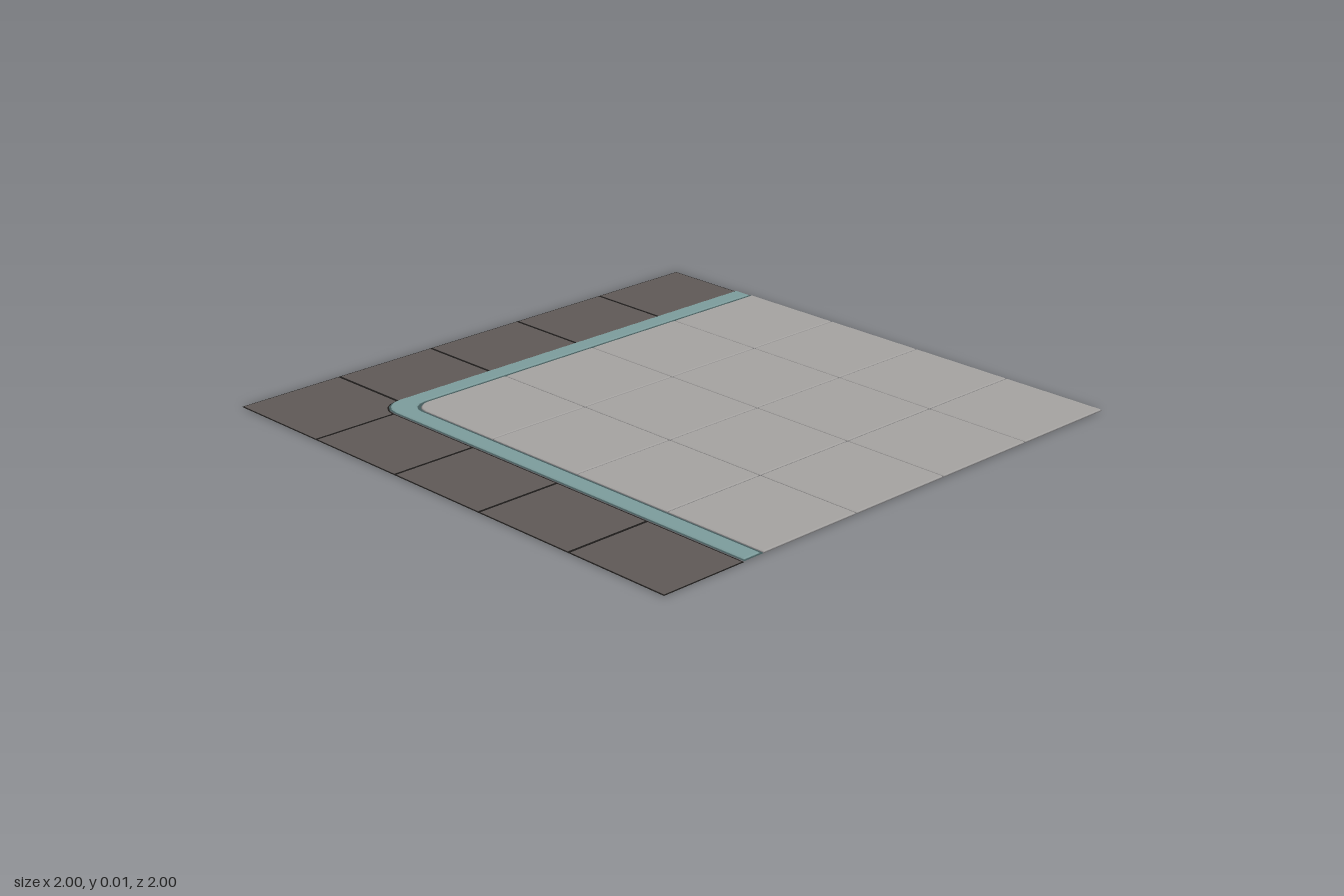
import * as THREE from 'three';

const mat = (name, color, side = THREE.FrontSide) => {
  const m = new THREE.MeshStandardMaterial({ color, side });
  m.name = name;
  return m;
};

// Points (x, z) along a quarter circle facing the -x, -z corner
function corner(cx, cz, r, n = 4) {
  return Array.from({ length: n + 1 }, (_, i) => {
    const a = (i / n) * Math.PI / 2;
    return [cx - r * Math.cos(a), cz - r * Math.sin(a)];
  });
}

// Rectangle outline, slightly inset so that joints stay open
function rect(x0, z0, x1, z1, g) {
  return [[x0 + g, z0 + g], [x1 - g, z0 + g], [x1 - g, z1 - g], [x0 + g, z1 - g]];
}

const toShape = pts => new THREE.Shape(pts.map(([x, z]) => new THREE.Vector2(x, -z)));

export function createModel() {
  const group = new THREE.Group();
  const road = mat('dark paving', 0x5e5856);
  const roadJoint = mat('dark joint', 0x1c1a19, THREE.DoubleSide);
  const curb = mat('teal curb', 0x7b9a9a);
  const curbJoint = mat('dark teal joint', 0x435a5b, THREE.DoubleSide);
  const pave = mat('grey paving', 0xa3a19f);
  const paveJoint = mat('grey joint', 0x68676a, THREE.DoubleSide);

  const add = (geo, material, name, y) => {
    geo.rotateX(-Math.PI / 2);
    const mesh = new THREE.Mesh(geo, material);
    mesh.position.y = y;
    mesh.name = name;
    group.add(mesh);
  };
  // Thin slab with chamfered rims, standing on y = 0
  const slab = (pts, h, material, name, bevel) => add(new THREE.ExtrudeGeometry(toShape(pts), {
    depth: h - 2 * bevel, bevelEnabled: true, bevelSegments: 1,
    bevelSize: bevel, bevelThickness: bevel, bevelOffset: -bevel,
  }), material, name, bevel);
  // Flat sheet seen through the joints
  const sheet = (pts, y, material, name) => add(new THREE.ShapeGeometry(toShape(pts)), material, name, y);

  // L-shaped band between an outer and an inner rounded corner
  const band = (outer, inner, end) => [
    [end, -0.6 - outer], ...corner(-0.6, -0.6, outer).reverse(), [-0.6 - outer, end],
    [-0.6 - inner, end], ...corner(-0.54, -0.54, 0.06 + inner), [end, -0.6 - inner],
  ];

  // Outer dark paving: corner stone and two mirrored rows
  const g = 0.006, e = 0.68;
  slab([[-1 + g, -1 + g], [-0.6 - g, -1 + g], [-0.6 - g, -e - g],
    ...corner(-0.6, -0.6, 0.08 + g).reverse().slice(1, -1),
    [-e - g, -0.6 - g], [-1 + g, -0.6 - g]], 0.004, road, 'outerCornerStone', 0.001);
  for (let i = 0; i < 4; i++) {
    const a = -0.6 + 0.4 * i, b = a + 0.4;
    slab(rect(a, -1, b, -e, g), 0.004, road, 'outerBackStone', 0.001);
    slab(rect(-1, a, -e, b, g), 0.004, road, 'outerSideStone', 0.001);
  }
  sheet([[-1, -1], [1, -1], [1, -e], ...corner(-0.6, -0.6, 0.08).reverse(), [-e, 1], [-1, 1]],
    0.002, roadJoint, 'outerJoints');

  // Raised curb
  slab(band(0.074, 0.011, 0.993), 0.01, curb, 'curb', 0.003);
  sheet(band(0.08, 0, 1), 0.005, curbJoint, 'curbJoint');

  // Inner grey paving, with one rounded stone in the corner
  const p = 0.003;
  for (let i = 0; i < 4; i++) {
    for (let j = 0; j < 4; j++) {
      const x = -0.6 + 0.4 * i, z = -0.6 + 0.4 * j;
      const pts = rect(x, z, x + 0.4, z + 0.4, p);
      if (i + j === 0) pts.splice(0, 1, ...corner(-0.54, -0.54, 0.06 - p));
      slab(pts, 0.01, pave, 'innerStone', 0.003);
    }
  }
  sheet([...corner(-0.54, -0.54, 0.06), [1, -0.6], [1, 1], [-0.6, 1]], 0.005, paveJoint, 'innerJoints');

  return group;
}
